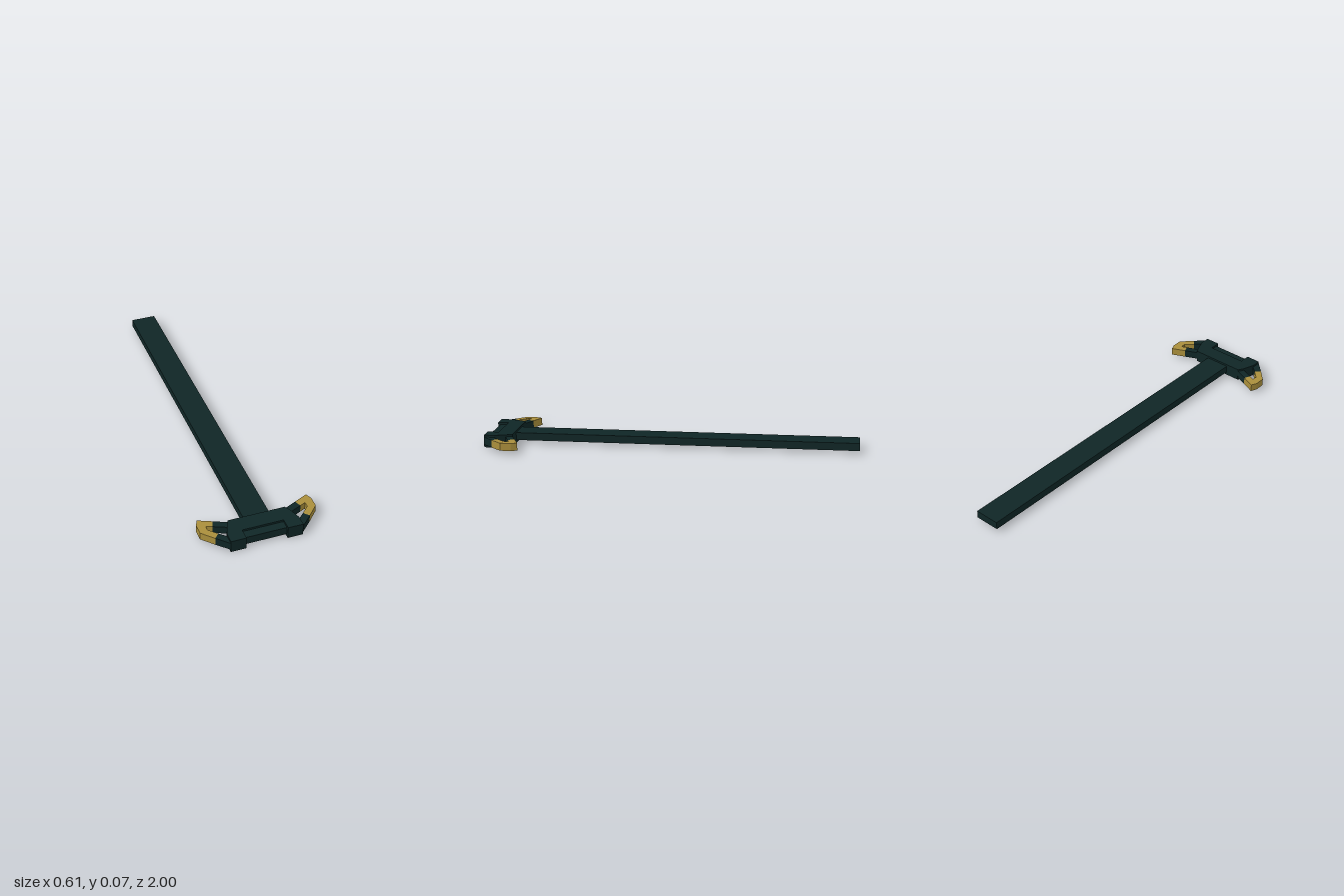
import * as THREE from 'three';

const dark = new THREE.MeshStandardMaterial({ color: 0x0f2626 });
dark.name = 'dark green';
const gold = new THREE.MeshStandardMaterial({ color: 0xaa8f3c });
gold.name = 'gold';

// Flat plate: outline in (x, z), extruded from y0 up to y1
function plate(name, points, y0, y1, material) {
  const shape = new THREE.Shape(points.map(([x, z]) => new THREE.Vector2(x, z)));
  const geometry = new THREE.ExtrudeGeometry(shape, { depth: y1 - y0, bevelEnabled: false });
  geometry.rotateX(Math.PI / 2).translate(0, y1, 0);
  const mesh = new THREE.Mesh(geometry, material);
  mesh.name = name;
  return mesh;
}

export function createModel() {
  const model = new THREE.Group();
  model.name = 'chargingHandle';
  const low = 0.015, high = 0.056;

  // Long flat shaft
  model.add(plate('shaft', [[-0.068, -1], [0.068, -1], [0.068, 0.86], [-0.068, 0.86]], low, high, dark));

  // Thick head, notched in the middle of its front
  const half = [[0.108, 0.94], [0.108, 1], [0.188, 1], [0.188, 0.945], [0.165, 0.88], [0.15, 0.853]];
  const outline = [...half, ...half.map(([x, z]) => [-x, z]).reverse()];
  model.add(plate('head', outline, 0, 0.067, dark));

  // Thinner insert filling the notch
  model.add(plate('frontInsert', [[-0.108, 0.93], [0.108, 0.93], [0.108, 0.985], [-0.108, 0.985]], 0.013, high, dark));

  // Hooked latch on each side
  for (const side of [1, -1]) {
    const latch = new THREE.Group();
    latch.name = side > 0 ? 'leftLatch' : 'rightLatch';
    const add = (name, points, material) =>
      latch.add(plate(name, points.map(([x, z]) => [x * side, z]), low, high, material));
    add('rearArm', [[0.145, 0.856], [0.217, 0.824], [0.232, 0.859], [0.16, 0.89]], dark);
    add('frontArm', [[0.18, 0.99], [0.18, 0.938], [0.189, 0.946], [0.222, 0.914], [0.247, 0.942], [0.188, 1]], dark);
    add('tip', [[0.217, 0.824], [0.29, 0.792], [0.304, 0.825], [0.304, 0.882], [0.247, 0.942],
      [0.222, 0.914], [0.262, 0.874], [0.262, 0.846], [0.232, 0.859]], gold);
    model.add(latch);
  }
  return model;
}
